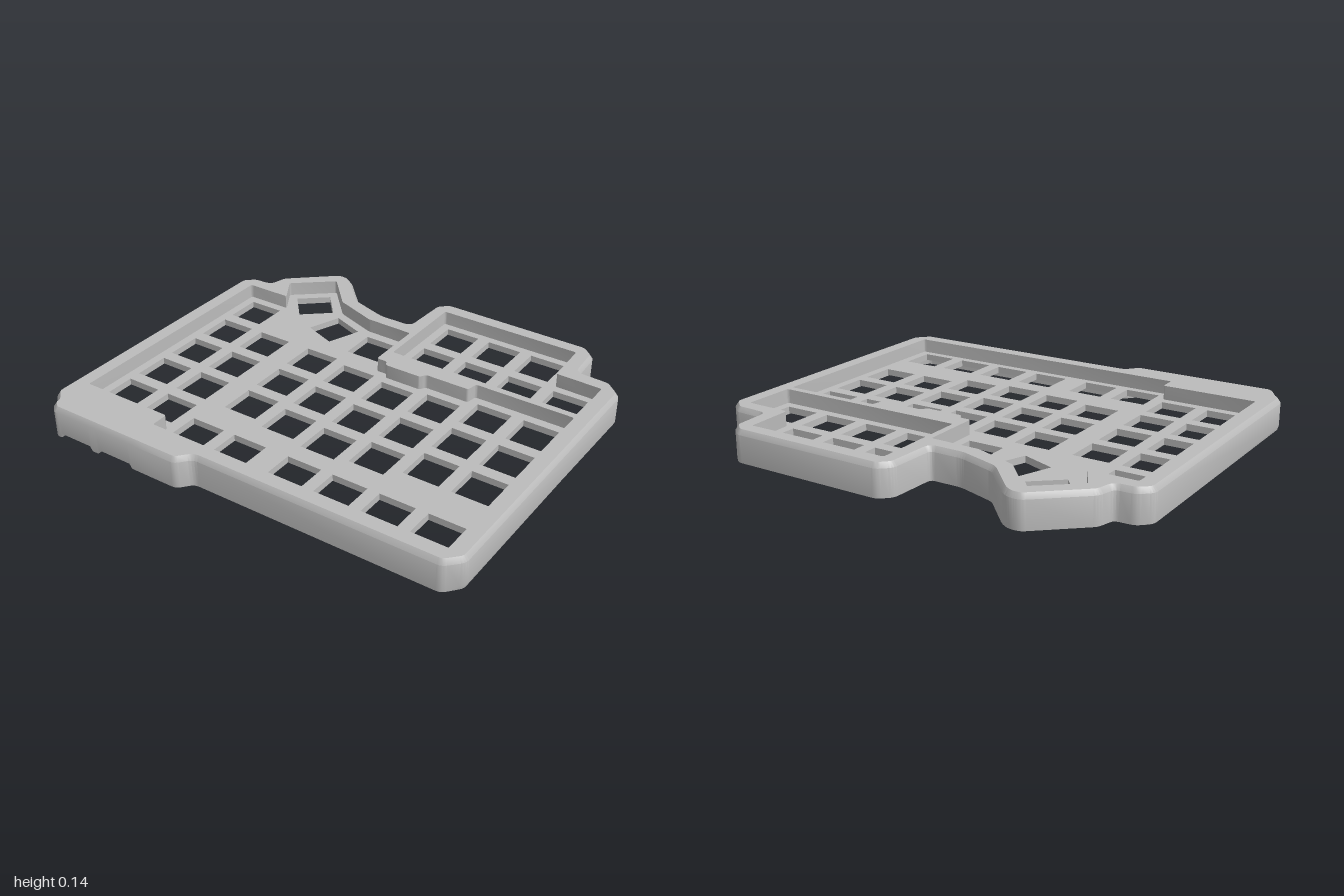
import * as THREE from 'three';
import { mergeVertices, toCreasedNormals } from 'three/addons/utils/BufferGeometryUtils.js';

const TOP = 0.145, PLATE_LOW = 0.05, PLATE_TOP = 0.08, KEY = 0.164;

// Plan outlines as [x, z], clockwise seen from above
const OUTER = [
  [-0.998, -0.51], [-0.945, -0.558], [-0.86, -0.562], [-0.84, -0.64], [-0.625, -0.828],
  [-0.575, -0.828], [-0.535, -0.805], [-0.39, -0.65], [-0.21, -0.592], [-0.065, -0.592],
  [-0.055, -0.815], [-0.005, -0.863], [0.715, -0.857], [0.77, -0.81], [0.78, -0.645],
  [0.93, -0.637], [0.998, -0.575], [0.998, 0.735], [0.935, 0.801], [-0.2, 0.801],
  [-0.25, 0.861], [-0.49, 0.861], [-0.67, 0.861], [-0.71, 0.861], [-0.885, 0.861],
  [-0.91, 0.861], [-0.945, 0.83], [-0.947, 0.805], [-0.998, 0.755],
];
const MAIN_WELL = [
  [-0.92, -0.485], [-0.705, -0.485], [-0.775, -0.605], [-0.595, -0.755], [-0.445, -0.59],
  [-0.245, -0.518], [-0.015, -0.513], [-0.015, -0.238], [0.035, -0.238], [0.05, -0.21],
  [0.225, -0.21], [0.24, -0.238], [0.45, -0.238], [0.46, -0.291], [0.92, -0.291],
  [0.92, 0.722], [-0.48, 0.722], [-0.48, 0.642], [-0.92, 0.642],
];
const UPPER_WELL = [
  [0.015, -0.785], [0.695, -0.785], [0.705, -0.568], [0.92, -0.563], [0.92, -0.323], [0.015, -0.323],
];

// Key columns: x, then the z of each opening
const KEYS = [
  [-0.798, [-0.362, -0.142, 0.078, 0.298, 0.518]],
  [-0.578, [-0.142, 0.078, 0.298, 0.518]],
  [-0.305, [-0.142, 0.078, 0.298]],
  [-0.083, [-0.112, 0.108, 0.328]],
  [0.137, [-0.665, -0.447, -0.087, 0.133, 0.353, 0.603]],
  [0.357, [-0.665, -0.447, -0.112, 0.108, 0.328, 0.603]],
  [0.577, [-0.665, -0.447, -0.167, 0.053, 0.273, 0.603]],
  [0.797, [-0.447, -0.167, 0.053, 0.273, 0.603]],
  [-0.358, [0.603]],
  [-0.138, [-0.387, 0.603]],
];
const TURNED_KEYS = [[-0.605, -0.583, 50], [-0.39, -0.438, 21]];

// Round every corner; returns Vector2 points with y = -z
function rounded(points, radius) {
  const v = points.map(([x, z]) => new THREE.Vector2(x, -z));
  const out = [];
  v.forEach((p, i) => {
    const a = v[(i + v.length - 1) % v.length], b = v[(i + 1) % v.length];
    const toward = (q) => p.clone().lerp(q, Math.min(radius / p.distanceTo(q), 0.4));
    out.push(...new THREE.QuadraticBezierCurve(toward(a), p, toward(b)).getPoints(3));
  });
  return out;
}

// Move a clockwise loop inward by d with mitred corners
function inset(loop, d) {
  const n = loop.length;
  const normal = (a, b) => new THREE.Vector2(b.y - a.y, a.x - b.x).normalize();
  return loop.map((p, i) => {
    const n1 = normal(loop[(i + n - 1) % n], p), n2 = normal(p, loop[(i + 1) % n]);
    return p.clone().addScaledVector(n1.clone().add(n2), d / (1 + n1.dot(n2)));
  });
}

// Flat slab between two heights; openings run opposite to the outline
function slab(outline, holes, low, high) {
  const shape = new THREE.Shape(outline);
  shape.holes = holes.map((h) => new THREE.Path([...h].reverse()));
  const g = new THREE.ExtrudeGeometry(shape, { depth: high - low, bevelEnabled: false });
  g.rotateX(-Math.PI / 2).translate(0, low, 0);
  return toCreasedNormals(g, 0.6);
}

// Skin a stack of matching loops; each ring is [loop, height(x, z)]
function skin(rings) {
  const n = rings[0][0].length, pos = [], idx = [];
  rings.forEach(([loop, height]) => loop.forEach((p) => pos.push(p.x, height(p.x, -p.y), -p.y)));
  for (let r = 0; r < rings.length - 1; r++) {
    for (let i = 0; i < n; i++) {
      const j = (i + 1) % n, a = r * n + i, b = r * n + j;
      idx.push(a, b + n, b, a, a + n, b + n);
    }
  }
  const g = new THREE.BufferGeometry();
  g.setAttribute('position', new THREE.Float32BufferAttribute(pos, 3));
  g.setIndex(idx);
  return toCreasedNormals(mergeVertices(g), 0.6);
}

function keyHole(x, z, degrees = 0) {
  const c = new THREE.Vector2(x, -z), h = KEY / 2;
  return [[-h, -h], [-h, h], [h, h], [h, -h]].map(([u, v]) =>
    new THREE.Vector2(x + u, v - z).rotateAround(c, -degrees * Math.PI / 180));
}

export function createModel() {
  const model = new THREE.Group();
  model.name = 'keyboardCase';
  const grey = new THREE.MeshStandardMaterial({ color: 0xbcbcbc });
  grey.name = 'plainGrey';
  const add = (name, geometry) => {
    const mesh = new THREE.Mesh(geometry, grey);
    mesh.name = name;
    model.add(mesh);
  };

  const outer = rounded(OUTER, 0.02);
  const topEdge = inset(outer, 0.015), lowEdge = inset(outer, 0.005), inner = inset(outer, 0.022);

  // Thin outer wall: chamfered top, two shallow notches under the front,
  // and a lower chamfer on the sides that grows towards the front
  const flat = (y) => () => y;
  const foot = (x, z) =>
    (z > 0.83 && ((x > -0.885 && x < -0.71) || (x > -0.67 && x < -0.49)) ? 0.02 : 0);
  const chamfer = (x, z) => foot(x, z) + 0.002 +
    (Math.abs(x) > 0.96 ? 0.018 * THREE.MathUtils.clamp((z + 0.6) / 1.35, 0, 1) : 0);
  add('outerWall', skin([
    [inner, flat(PLATE_LOW + 0.005)], [inner, foot], [lowEdge, foot], [outer, chamfer],
    [outer, flat(TOP - 0.022)], [topEdge, flat(TOP)],
  ]));

  // Raised rim around the two key wells
  const wells = [MAIN_WELL, UPPER_WELL].map((w) => rounded(w, 0.01));
  add('raisedRim', slab(topEdge, wells, PLATE_TOP - 0.02, TOP));

  // Plate with the key openings
  const holes = KEYS.flatMap(([x, zs]) => zs.map((z) => keyHole(x, z)));
  TURNED_KEYS.forEach(([x, z, turn]) => holes.push(keyHole(x, z, turn)));
  add('keyPlate', slab(topEdge, holes, PLATE_LOW, PLATE_TOP));
  return model;
}
